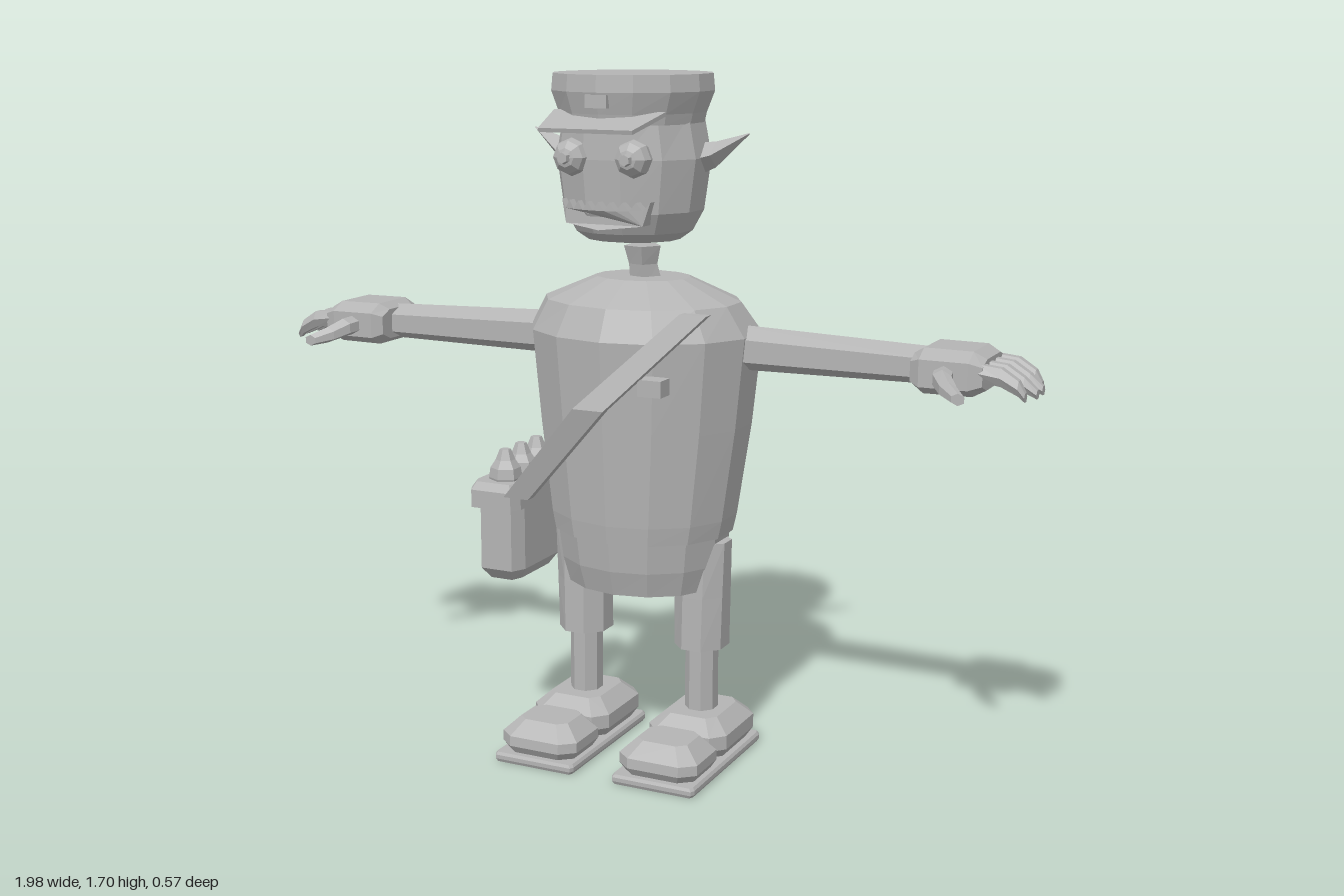
import * as THREE from 'three';

const grey = new THREE.MeshStandardMaterial({ color: 0xb4b4b4 });
grey.name = 'plain grey';

// Plans: unit outlines as [x, z], anticlockwise from above
const round = (n, phase = 0) => Array.from({ length: n }, (_, i) => {
  const a = ((i + phase) / n) * Math.PI * 2;
  return [Math.sin(a), Math.cos(a)];
});
const bevelled = (c) => [[c, 1], [1, c], [1, -c], [c, -1], [-c, -1], [-1, -c], [-1, c], [-c, 1]];
const square = [[1, 1], [1, -1], [-1, -1], [-1, 1]];

// Closed faceted solid through sections [y, halfX, halfZ, centreX, centreZ]
function stack(plan, sections) {
  const pos = [];
  const n = plan.length;
  const rings = sections.map(([y, rx, rz, cx = 0, cz = 0]) =>
    plan.map(([x, z]) => [cx + x * rx, y, cz + z * rz]));
  const centre = ([y, , , cx = 0, cz = 0]) => [cx, y, cz];
  const last = sections.length - 1;
  for (let i = 0; i < n; i++) {
    const j = (i + 1) % n;
    for (let k = 0; k < last; k++) {
      const [a, b, c, d] = [rings[k][i], rings[k][j], rings[k + 1][j], rings[k + 1][i]];
      pos.push(...a, ...b, ...c, ...a, ...c, ...d);
    }
    pos.push(...centre(sections[0]), ...rings[0][j], ...rings[0][i]);
    pos.push(...centre(sections[last]), ...rings[last][i], ...rings[last][j]);
  }
  const g = new THREE.BufferGeometry();
  g.setAttribute('position', new THREE.Float32BufferAttribute(pos, 3));
  g.computeVertexNormals();
  return g;
}

function flat(geo) {
  const g = geo.index ? geo.toNonIndexed() : geo;
  g.computeVertexNormals();
  return g;
}

// Mirror across x and restore the winding
function mirrored(geo) {
  const g = geo.clone();
  const p = g.attributes.position;
  const v = [0, 1, 2].map(() => new THREE.Vector3());
  for (let i = 0; i < p.count; i += 3) {
    v.forEach((q, k) => q.fromBufferAttribute(p, i + k));
    [0, 2, 1].forEach((s, k) => p.setXYZ(i + k, -v[s].x, v[s].y, v[s].z));
  }
  g.computeVertexNormals();
  return g;
}

export function createModel() {
  const model = new THREE.Group();
  const add = (name, geo) => {
    const m = new THREE.Mesh(geo, grey);
    m.name = name;
    model.add(m);
  };
  const pair = (name, geo) => {
    add(name + 'Left', geo);
    add(name + 'Right', mirrored(geo));
  };
  const box = (w, h, d, x, y, z) => flat(new THREE.BoxGeometry(w, h, d).translate(x, y, z));

  // Torso, trousers and neck
  add('jacket', stack(round(14), [
    [0.575, 0.23, 0.205, 0, -0.02], [0.62, 0.24, 0.211, 0, -0.021], [0.85, 0.272, 0.235, 0, -0.03],
    [1.075, 0.295, 0.253, 0, -0.033], [1.15, 0.25, 0.2, 0, -0.015], [1.205, 0.12, 0.1, 0, -0.018]]));
  add('trouserSeat', stack(round(14), [
    [0.437, 0.195, 0.17, 0, -0.02], [0.5, 0.212, 0.188, 0, -0.02], [0.6, 0.226, 0.2, 0, -0.02]]));
  add('neck', stack(round(5, 0.3), [
    [1.18, 0.042, 0.042, 0.005, -0.03], [1.235, 0.036, 0.038, 0, -0.02], [1.28, 0.047, 0.047, 0, -0.015]]));

  // Head
  add('head', stack(round(12, 0.5), [
    [1.303, 0.115, 0.105, 0, 0.035], [1.325, 0.145, 0.14, 0, 0.035], [1.375, 0.172, 0.166, 0, 0.035],
    [1.5, 0.19, 0.176, 0, 0.035], [1.6, 0.17, 0.172, 0, 0.035]]));
  pair('ear', stack(round(3), [
    [0.16, 0.045, 0.032, -1.495, 0.03], [0.205, 0.035, 0.024, -1.507, 0.025], [0.285, 0.002, 0.002, -1.557, 0.003],
  ]).rotateZ(-Math.PI / 2));
  pair('eye', flat(new THREE.SphereGeometry(0.045, 8, 6).rotateX(Math.PI / 2).scale(1, 1, 0.9).translate(0.08, 1.505, 0.198)));
  pair('pupil', flat(new THREE.CylinderGeometry(0.013, 0.016, 0.02, 6).rotateX(Math.PI / 2).translate(0.08, 1.505, 0.238)));

  // Mouth plate with a saw-tooth upper edge, bent round the face
  const mouth = new THREE.Shape();
  mouth.moveTo(-0.1, 1.35).lineTo(0, 1.34).lineTo(0.1, 1.35);
  const teeth = 8;
  for (let i = 0; i <= teeth * 2; i++) mouth.lineTo(0.115 - (0.23 * i) / (teeth * 2), i % 2 ? 1.385 : 1.405);
  mouth.closePath();
  const mouthGeo = new THREE.ExtrudeGeometry(mouth, { depth: 0.04, bevelEnabled: false });
  const mp = mouthGeo.attributes.position;
  for (let i = 0; i < mp.count; i++) mp.setZ(i, mp.getZ(i) + 0.182 - 3 * mp.getX(i) ** 2);
  add('mouth', flat(mouthGeo));

  // Cap
  add('cap', stack(round(14), [
    [1.58, 0.172, 0.177, 0, 0.037], [1.605, 0.178, 0.182, 0, 0.037],
    [1.655, 0.198, 0.195, 0, 0.037], [1.695, 0.194, 0.192, 0, 0.037]]));
  const brim = new THREE.Shape();
  brim.moveTo(-0.145, 0).lineTo(-0.12, -0.13).lineTo(0.12, -0.13).lineTo(0.145, 0).closePath();
  add('capBrim', flat(new THREE.ExtrudeGeometry(brim, { depth: 0.01, bevelEnabled: false })
    .rotateX(-Math.PI / 2).rotateX(0.28).translate(0, 1.602, 0.16)));
  add('capBadge', box(0.055, 0.03, 0.03, 0, 1.635, 0.218));

  // Arms and hands, built upright then laid along x
  const along = (plan, s) => stack(plan, s).rotateZ(-Math.PI / 2);
  pair('arm', along(round(6, 0.5), [[0.2, 0.056, 0.058, -1.045, -0.032], [0.75, 0.044, 0.056, -1.04, -0.03]]));
  pair('palm', along(bevelled(0.6), [
    [0.71, 0.038, 0.085, -1.04, -0.023], [0.735, 0.053, 0.102, -1.04, -0.023],
    [0.85, 0.052, 0.102, -1.04, -0.023], [0.88, 0.036, 0.09, -1.04, -0.023]]));
  [-0.1, -0.05, 0.001, 0.05].forEach((z, i) => {
    const end = [0.975, 0.99, 0.99, 0.975][i];
    pair('finger' + (i + 1), along(round(6), [
      [0.86, 0.022, 0.021, -1.05, z], [0.92, 0.024, 0.021, -1.042, z],
      [0.96, 0.02, 0.019, -1.02, z], [end, 0.012, 0.014, -1.0, z]]));
  });
  pair('thumb', stack(round(6), [
    [0.06, 0.026, 0.024, 0.79, -1.04], [0.11, 0.025, 0.024, 0.8, -1.035],
    [0.145, 0.023, 0.02, 0.825, -1.02], [0.175, 0.017, 0.014, 0.857, -1.008]]).rotateX(Math.PI / 2));

  // Legs and shoes
  pair('trouserLeg', stack(round(8, 0.5), [
    [0.285, 0.068, 0.073, 0.163, -0.02], [0.42, 0.07, 0.068, 0.165, -0.018], [0.56, 0.073, 0.06, 0.167, -0.015]]));
  pair('shin', stack(round(8, 0.5), [[0.1, 0.041, 0.044, 0.163, -0.02], [0.3, 0.041, 0.044, 0.163, -0.02]]));
  pair('sole', stack(bevelled(0.95), [
    [0, 0.105, 0.208, 0.163, 0.063], [0.008, 0.11, 0.212, 0.163, 0.063],
    [0.018, 0.11, 0.212, 0.163, 0.063], [0.025, 0.105, 0.208, 0.163, 0.063]]));
  pair('shoeHeel', stack(bevelled(0.7), [
    [0.022, 0.088, 0.1, 0.163, -0.022], [0.05, 0.106, 0.122, 0.163, -0.022],
    [0.085, 0.106, 0.122, 0.163, -0.022], [0.12, 0.068, 0.085, 0.163, -0.022]]));
  pair('shoeToe', stack(bevelled(0.65), [
    [0.022, 0.09, 0.075, 0.163, 0.178], [0.045, 0.104, 0.09, 0.163, 0.178],
    [0.07, 0.104, 0.088, 0.163, 0.178], [0.107, 0.066, 0.055, 0.163, 0.175]]));

  // Strap across the chest and the small chest badge
  add('strap', stack(square, [
    [0.67, 0.034, 0.014, -0.232, 0.205], [0.925, 0.04, 0.014, 0.002, 0.272], [1.155, 0.034, 0.014, 0.237, 0.198]]));
  add('chestBadge', box(0.06, 0.04, 0.05, 0.14, 0.98, 0.216));

  // Hip bag holding three capped flasks
  add('bag', stack(bevelled(0.7), [
    [0.43, 0.042, 0.1, -0.325, 0.033], [0.46, 0.062, 0.125, -0.325, 0.033], [0.64, 0.062, 0.125, -0.325, 0.033]]));
  add('bagRim', stack(bevelled(0.8), [
    [0.62, 0.07, 0.14, -0.33, 0.033], [0.665, 0.07, 0.14, -0.33, 0.033], [0.685, 0.058, 0.128, -0.33, 0.033]]));
  [-0.055, 0.025, 0.105].forEach((z, i) => add('flask' + (i + 1), stack(round(6), [
    [0.66, 0.034, 0.034, -0.325, z], [0.69, 0.042, 0.042, -0.325, z], [0.715, 0.038, 0.038, -0.325, z],
    [0.735, 0.025, 0.025, -0.325, z], [0.762, 0.014, 0.014, -0.325, z]])));

  return model;
}
